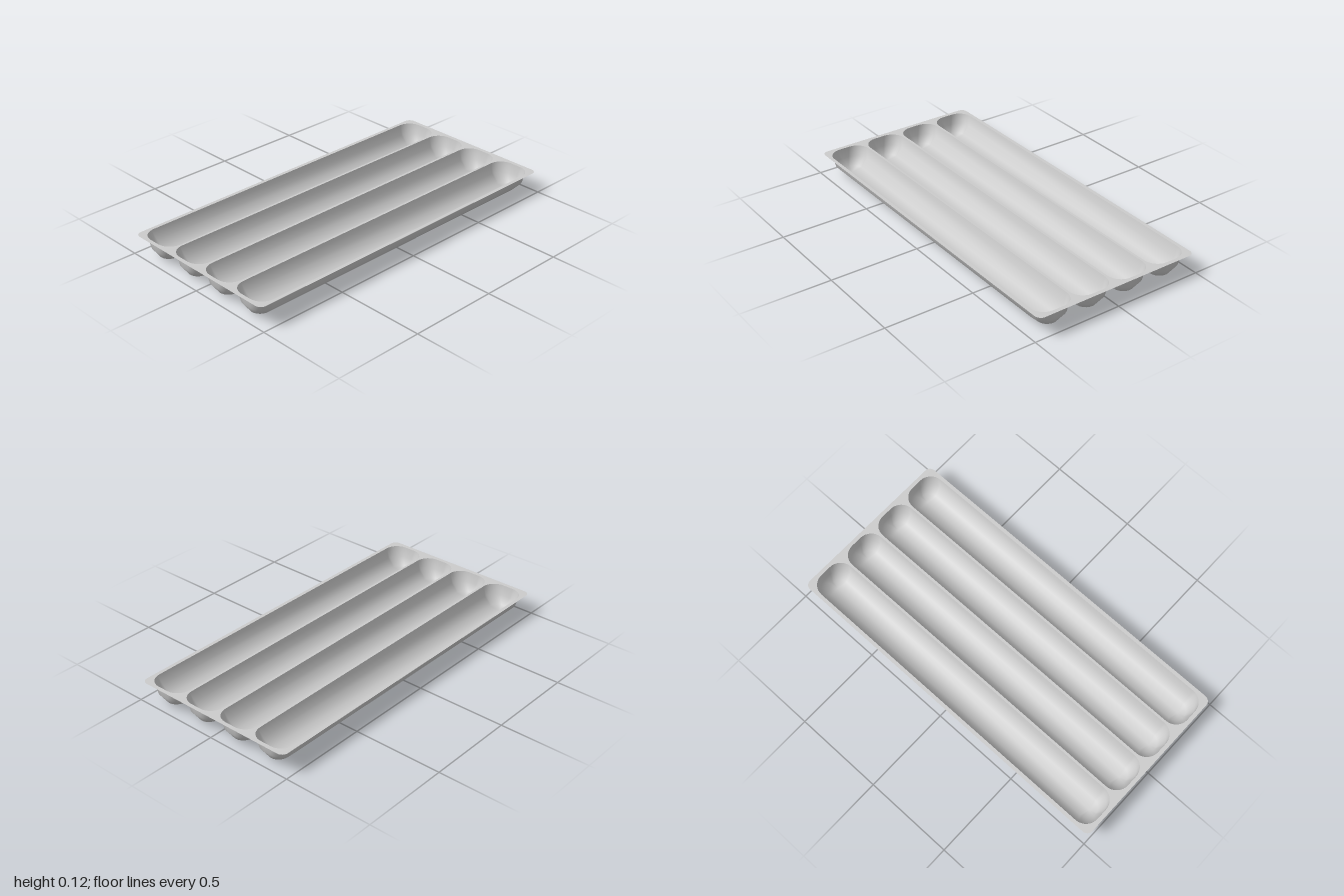
import * as THREE from 'three';
import { mergeVertices } from 'three/addons/utils/BufferGeometryUtils.js';

const RIM_Y = 0.119;
const CENTRES = [-0.35, -0.117, 0.117, 0.35];
// trough levels from rim to keel: [height, half width, half length, corner radius]
const LEVELS = [
  [RIM_Y, 0.11, 0.978, 0.078],
  [0.06, 0.096, 0.971, 0.076],
  [0.017, 0.054, 0.944, 0.054],
  [0, 0, 0.905, 0],
];

// rounded rectangle, counter-clockwise, always the same number of points
function outline(w, l, r, cx = 0, steps = 8) {
  const pts = [];
  [[1, 1], [-1, 1], [-1, -1], [1, -1]].forEach(([sx, sy], q) => {
    for (let i = 0; i <= steps; i++) {
      const a = (q + i / steps) * Math.PI / 2;
      pts.push(new THREE.Vector2(
        cx + sx * (w - r) + r * Math.cos(a),
        sy * (l - r) + r * Math.sin(a)));
    }
  });
  return pts;
}

// skin stacked outlines from the rim down to the keel line
function troughGeometry() {
  const positions = [], index = [];
  const rings = LEVELS.map(([, w, l, r]) => outline(w, l, r));
  const n = rings[0].length;
  rings.forEach((ring, k) => ring.forEach(p => positions.push(p.x, LEVELS[k][0], -p.y)));
  for (let k = 0; k < rings.length - 1; k++) {
    for (let i = 0; i < n; i++) {
      const a = k * n + i, b = k * n + (i + 1) % n, c = a + n, d = b + n;
      index.push(c, d, b, c, b, a);
    }
  }
  const g = new THREE.BufferGeometry();
  g.setAttribute('position', new THREE.Float32BufferAttribute(positions, 3));
  g.setIndex(index);
  const merged = mergeVertices(g, 1e-5);
  merged.computeVertexNormals();
  return merged;
}

export function createModel() {
  const group = new THREE.Group();
  group.name = 'fourChannelTray';
  const material = new THREE.MeshStandardMaterial({ color: 0xcccccc, side: THREE.DoubleSide });

  // flat top sheet with an opening over each trough
  const sheet = new THREE.Shape(outline(0.48, 1, 0.035));
  const [, w, l, r] = LEVELS[0];
  CENTRES.forEach(x => sheet.holes.push(new THREE.Path(outline(w, l, r, x).reverse())));
  const rim = new THREE.Mesh(new THREE.ShapeGeometry(sheet).rotateX(-Math.PI / 2), material);
  rim.position.y = RIM_Y;
  rim.name = 'rim';
  group.add(rim);

  // four identical troughs
  const geometry = troughGeometry();
  CENTRES.forEach((x, i) => {
    const trough = new THREE.Mesh(geometry, material);
    trough.position.x = x;
    trough.name = `trough${i + 1}`;
    group.add(trough);
  });
  return group;
}
